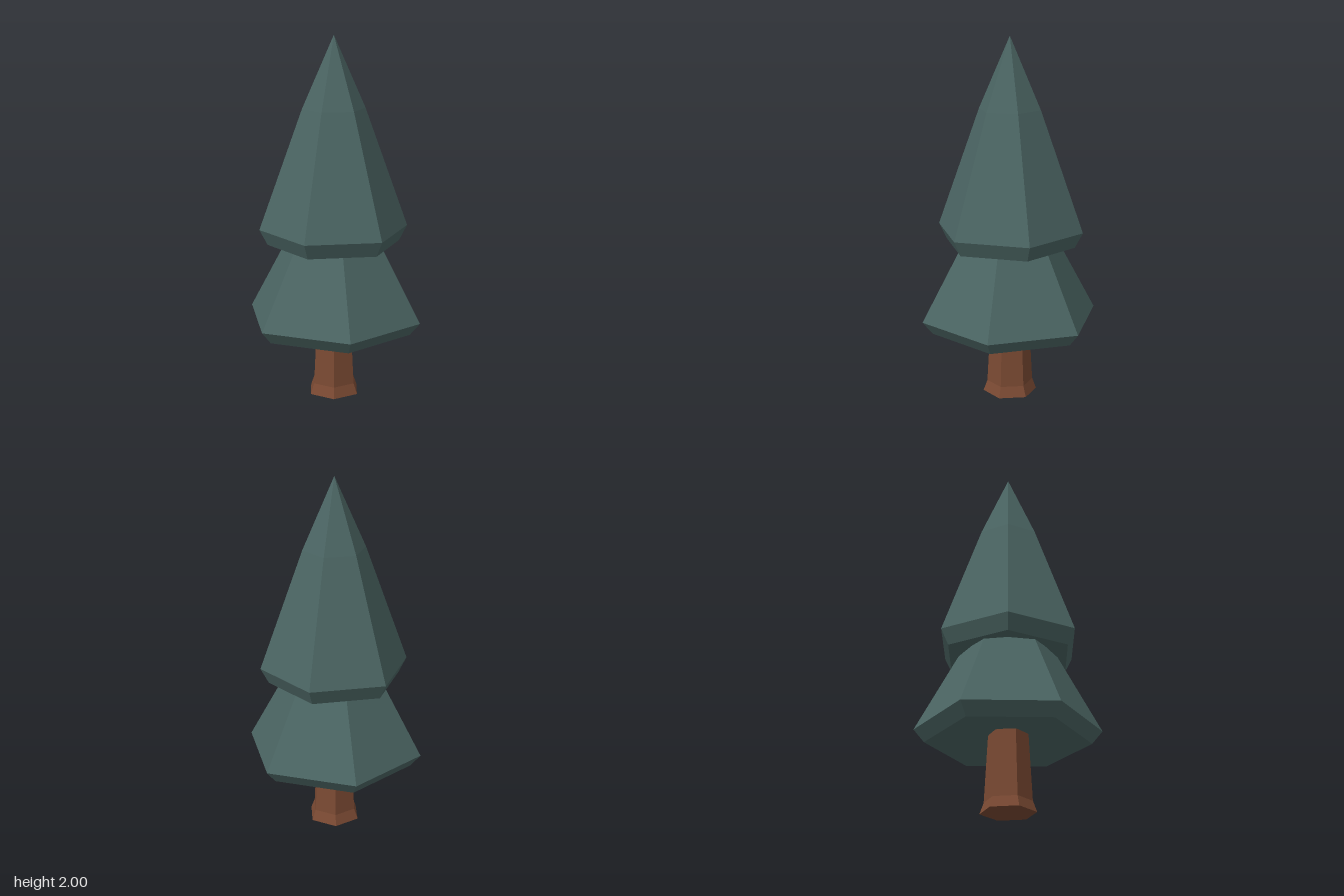
import * as THREE from 'three';

const needleGreen = new THREE.MeshStandardMaterial({ color: 0x4b6563, flatShading: true });
needleGreen.name = 'needle green';
const barkBrown = new THREE.MeshStandardMaterial({ color: 0x7b4a33, flatShading: true });
barkBrown.name = 'bark brown';

// Six-sided turned part; profile runs [radius, height] from underside to top
function hexPart(name, material, profile, turnDegrees) {
  const points = profile.map(([r, y]) => new THREE.Vector2(r, y));
  const geometry = new THREE.LatheGeometry(points, 6, THREE.MathUtils.degToRad(turnDegrees));
  const mesh = new THREE.Mesh(geometry, material);
  mesh.name = name;
  return mesh;
}

export function createModel() {
  const tree = new THREE.Group();
  tree.name = 'pineTree';

  // Trunk with a flared foot
  tree.add(hexPart('trunk', barkBrown,
    [[0, 0], [0.15, 0], [0.128, 0.06], [0.106, 0.46], [0, 0.46]], 5));

  // Lower skirt of branches, slightly hollow underneath
  tree.add(hexPart('lowerBranches', needleGreen,
    [[0, 0.44], [0.443, 0.38], [0.5, 0.45], [0.275, 0.865], [0.21, 0.98], [0, 0.98]], 15));

  // Upper cone of branches with a gently bowed tip
  tree.add(hexPart('upperBranches', needleGreen,
    [[0, 0.93], [0.366, 0.865], [0.41, 0.95], [0.172, 1.61], [0, 2]], -17));

  return tree;
}
